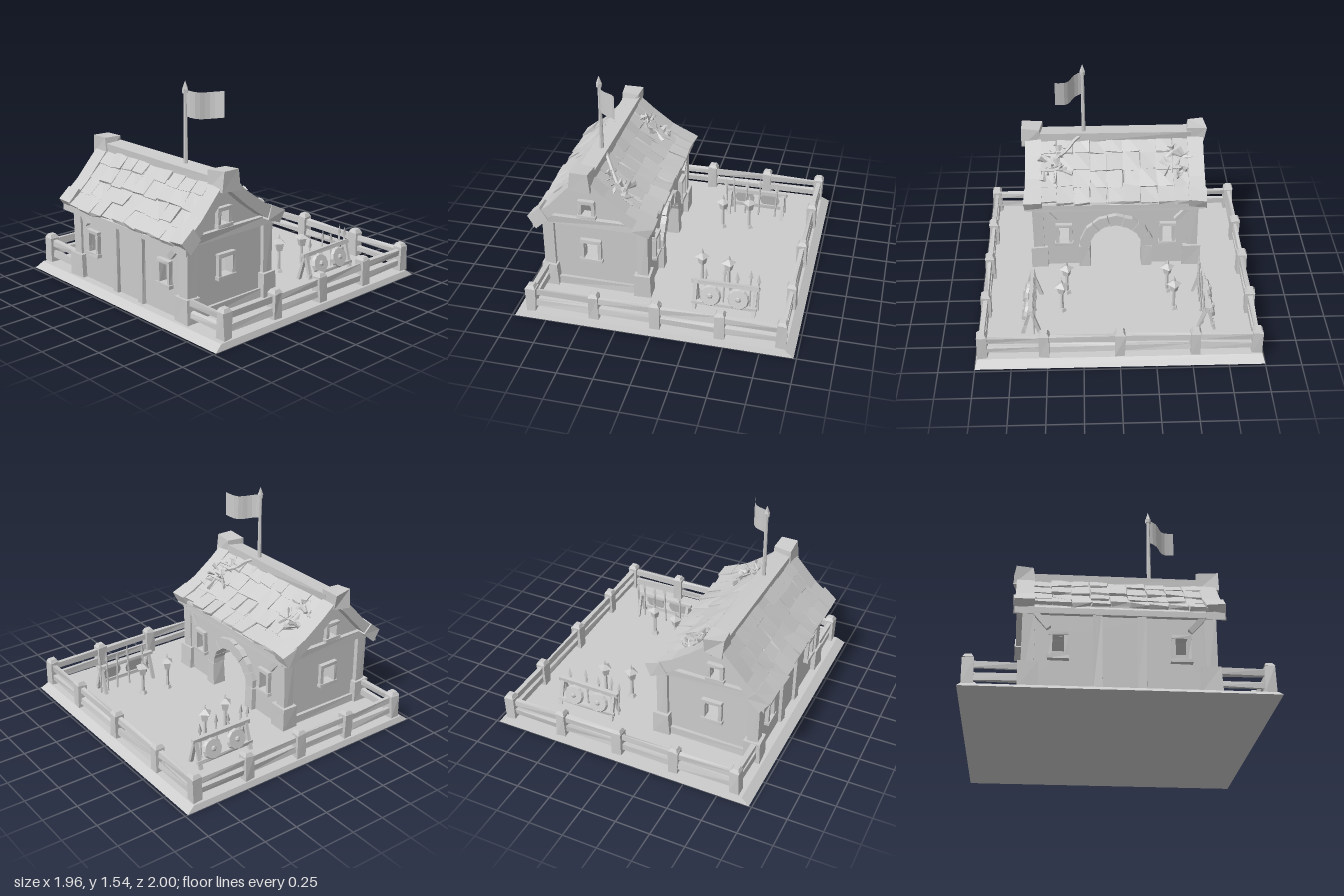
import * as THREE from 'three';

const mat = new THREE.MeshStandardMaterial({ color: 0xcccccc, flatShading: true, side: THREE.DoubleSide });
let seed = 7;
const rnd = () => ((seed = (seed * 16807) % 2147483647) / 2147483647) - 0.5;

function add(parent, name, geo, x = 0, y = 0, z = 0) {
  const m = new THREE.Mesh(geo, mat);
  m.name = name;
  m.position.set(x, y, z);
  parent.add(m);
  return m;
}

// Box whose eight corners are nudged for a hand-hewn look
function hewn(w, h, d, j = 0.008) {
  const g = new THREE.BoxGeometry(w, h, d);
  const p = g.attributes.position, moved = {};
  for (let i = 0; i < p.count; i++) {
    const key = [p.getX(i) > 0, p.getY(i) > 0, p.getZ(i) > 0].join();
    const o = (moved[key] ??= [rnd() * j, rnd() * j, rnd() * j]);
    p.setXYZ(i, p.getX(i) + o[0], p.getY(i) + o[1], p.getZ(i) + o[2]);
  }
  g.computeVertexNormals();
  return g;
}

// Hewn box given by its limits
const block = (parent, name, x0, x1, y0, y1, z0, z1, j) =>
  add(parent, name, hewn(x1 - x0, y1 - y0, z1 - z0, j), (x0 + x1) / 2, (y0 + y1) / 2, (z0 + z1) / 2);

const vecs = (pts) => pts.map(([x, y]) => new THREE.Vector2(x, y));
const rectPath = (x, y, w, h) =>
  new THREE.Path(vecs([[x - w / 2, y], [x - w / 2, y + h], [x + w / 2, y + h], [x + w / 2, y]]));

function slab(pts, depth, holes = []) {
  const s = new THREE.Shape(vecs(pts));
  s.holes.push(...holes);
  return new THREE.ExtrudeGeometry(s, { depth, bevelEnabled: false });
}

// Four-sided window frame facing +z, with its lower middle at the origin
function windowFrame(w, h, t = 0.025) {
  const g = new THREE.Group();
  g.name = 'windowFrame';
  for (const s of [-1, 1]) add(g, 'jamb', hewn(t, h, 0.05, 0.004), s * (w + t) / 2, h / 2, 0);
  add(g, 'sill', hewn(w + 2.6 * t, t, 0.065, 0.004), 0, -t / 2, 0);
  add(g, 'lintel', hewn(w + 2 * t, t, 0.055, 0.004), 0, h + t / 2, 0);
  return g;
}

// Roof profile, outer edge from ridge to eave on each side
const slopes = [
  [[-0.58, 0.96], [-0.70, 0.83], [-0.80, 0.72], [-0.93, 0.61]],
  [[-0.54, 0.96], [-0.40, 0.84], [-0.25, 0.73], [-0.09, 0.65]],
];
const band = (pts, lift, t) => [
  ...pts.map(([x, y]) => [x, y + lift]),
  ...[...pts].reverse().map(([x, y]) => [x, y + lift - t]),
];

function buildHouse() {
  const g = new THREE.Group();
  g.name = 'house';

  // Gable walls with two windows each
  const gable = [[-0.86, 0.03], [-0.13, 0.03], [-0.13, 0.6], [-0.56, 0.9], [-0.86, 0.6]];
  for (const s of [1, -1]) {
    const holes = [rectPath(-0.53, 0.29, 0.1, 0.13), rectPath(-0.55, 0.65, 0.07, 0.09)];
    add(g, 'gableWall', slab(gable, 0.04, holes), 0, 0, s > 0 ? 0.55 : -0.59);
    for (const [x, y, w, h] of [[-0.53, 0.29, 0.1, 0.13], [-0.55, 0.65, 0.07, 0.09]]) {
      const f = windowFrame(w, h);
      f.position.set(x, y, s * 0.595);
      g.add(f);
    }
    const z = s * 0.595;
    block(g, 'tieBeam', -0.87, -0.12, 0.56, 0.62, z - 0.03, z + 0.03);
    block(g, 'groundBeam', -0.86, -0.13, 0.03, 0.1, z - 0.02, z + 0.02);
  }

  // Side walls: the +x wall has the archway
  const side = [[-0.59, 0.03], [0.59, 0.03], [0.59, 0.62], [-0.59, 0.62]];
  const doorSide = [[-0.59, 0.03], [-0.2, 0.03], [-0.2, 0.22]];
  for (let i = 1; i < 12; i++) {
    const a = Math.PI * (1 - i / 12);
    doorSide.push([0.2 * Math.cos(a), 0.22 + 0.2 * Math.sin(a)]);
  }
  doorSide.push([0.2, 0.22], [0.2, 0.03], [0.59, 0.03], [0.59, 0.62], [-0.59, 0.62]);
  for (const [pts, x, out] of [[doorSide, -0.13, 1], [side, -0.82, -1]]) {
    const holes = [-0.39, 0.39].map((z) => rectPath(z, 0.26, 0.075, 0.14));
    add(g, 'sideWall', slab(pts, 0.04, holes), x).rotation.y = -Math.PI / 2;
    const face = out > 0 ? -0.125 : -0.865;
    for (const z of [-0.39, 0.39]) {
      const f = windowFrame(0.075, 0.14);
      f.position.set(face, 0.26, z);
      f.rotation.y = Math.PI / 2;
      g.add(f);
    }
    block(g, 'eaveBeam', face - 0.03, face + 0.03, 0.55, 0.62, -0.6, 0.6);
  }
  for (const z of [-0.14, 0.14]) block(g, 'backPost', -0.885, -0.85, 0.03, 0.58, z - 0.03, z + 0.03);

  // Corner posts, stone feet and slanted braces
  for (const s of [1, -1]) for (const [x, out] of [[-0.84, -1], [-0.155, 1]]) {
    block(g, 'cornerPost', x - 0.04, x + 0.04, 0.03, 0.6, s * 0.58 - 0.04, s * 0.58 + 0.04);
    block(g, 'cornerFoot', x - 0.06, x + 0.06, 0.03, 0.21, s * 0.575 - 0.065, s * 0.575 + 0.065, 0.015);
    add(g, 'brace', hewn(0.03, 0.15, 0.035), x + out * 0.035, 0.51, s * 0.5).rotation.x = s * 0.7;
  }

  // Stone arch: wedge blocks over two jambs
  for (let i = 0; i < 7; i++) {
    const a = Math.PI * (i / 7) + 0.01, b = Math.PI * ((i + 1) / 7) - 0.01, r = 0.272 + rnd() * 0.02;
    const mid = (a + b) / 2;
    const pts = [[0.195, a], [r, a], [r + 0.008, mid], [r, b], [0.195, b], [0.2, mid]]
      .map(([q, t]) => [q * Math.cos(t), 0.22 + q * Math.sin(t)]);
    add(g, 'archStone', slab(pts, 0.1), -0.09 + rnd() * 0.015).rotation.y = -Math.PI / 2;
  }
  for (const s of [1, -1]) {
    block(g, 'archJamb', -0.19, -0.09, 0.03, 0.22, s * 0.235 - 0.04, s * 0.235 + 0.04, 0.015);
  }
  return g;
}

function buildRoof() {
  const g = new THREE.Group();
  g.name = 'roof';
  slopes.forEach((pts, k) => {
    add(g, 'roofDeck', slab(band(pts, -0.04, 0.035), 1.16), 0, 0, -0.58);
    // Thick verge boards at both gables, ending in blocks
    for (const z of [0.55, -0.67]) {
      add(g, 'vergeBoard', slab(band(pts, 0.015, 0.1), 0.12), 0, 0, z);
      const end = add(g, 'vergeEnd', hewn(0.12, 0.1, 0.135, 0.015), k ? -0.135 : -0.885, k ? 0.635 : 0.615, z + 0.06);
      end.rotation.z = k ? -0.46 : 0.7;
    }
    // Overlapping uneven shingles
    const rows = 4, cols = 9;
    const curve = new THREE.SplineCurve(vecs(pts));
    for (let r = 0; r < rows; r++) for (let c = 0; c < cols; c++) {
      const p = curve.getPointAt((r + 0.5) / rows), t = curve.getTangentAt((r + 0.5) / rows);
      const w = 1.12 / cols;
      const m = add(g, 'shingle', hewn(0.165 + rnd() * 0.03, 0.025, w * 0.98, 0.016),
        p.x, p.y - 0.012 + rnd() * 0.01, -0.56 + w * (c + 0.5));
      m.rotation.z = Math.atan2(t.y, t.x) + (k ? 0.08 : -0.08);
      m.rotation.x = rnd() * 0.08;
    }
  });
  // Ridge beam with heavy end caps
  block(g, 'ridgeBeam', -0.62, -0.5, 0.87, 0.98, -0.58, 0.58, 0.02);
  for (const s of [1, -1]) block(g, 'ridgeCap', -0.635, -0.49, 0.89, 1.02, s * 0.62 - 0.068, s * 0.62 + 0.068, 0.025);

  // Leafy tufts creeping down the +x slope
  for (const z of [0.45, -0.46]) for (let i = 0; i < 22; i++) {
    const u = rnd(), x = -0.37 + u * 0.22;
    const leaf = add(g, 'leaf', new THREE.ConeGeometry(0.028, 0.11, 4), x, 0.825 - u * 0.155, z + rnd() * 0.17);
    leaf.rotation.set(rnd() * 3, rnd() * 6, -1.2 + rnd() * 1.6);
    leaf.scale.z = 0.4;
  }
  const vine = new THREE.CatmullRomCurve3([[-0.52, 0.97, 0.24], [-0.47, 0.93, 0.31], [-0.43, 0.88, 0.36], [-0.37, 0.84, 0.45]]
    .map((p) => new THREE.Vector3(...p)));
  add(g, 'vine', new THREE.TubeGeometry(vine, 10, 0.014, 5));
  return g;
}

function buildFlag() {
  const g = new THREE.Group();
  g.name = 'flag';
  g.position.set(-0.545, 0, 0.23);
  add(g, 'flagPole', new THREE.CylinderGeometry(0.011, 0.016, 0.62, 6), 0, 1.2, 0);
  add(g, 'poleTip', new THREE.ConeGeometry(0.022, 0.06, 5), 0, 1.51, 0);
  add(g, 'poleCollar', new THREE.CylinderGeometry(0.02, 0.02, 0.03, 6), 0, 1.47, 0);
  // Rippling cloth hung diagonally
  const cloth = new THREE.PlaneGeometry(0.26, 0.18, 8, 3);
  const p = cloth.attributes.position;
  for (let i = 0; i < p.count; i++) {
    const u = p.getX(i) / 0.26 + 0.5;
    p.setXYZ(i, p.getX(i) + 0.13, p.getY(i) - 0.02 * Math.sin(u * 3), 0.018 * Math.sin(u * 7));
  }
  add(g, 'cloth', cloth, 0, 1.39, 0).rotation.y = -0.83;
  return g;
}

function buildFence() {
  const g = new THREE.Group();
  g.name = 'fence';
  const xs = [-0.86, -0.41, 0.02, 0.47, 0.89];
  const post = (x, z) => {
    add(g, 'fencePost', hewn(0.07, 0.18, 0.07, 0.01), x, 0.14, z);
    const cap = add(g, 'postCap', new THREE.CylinderGeometry(0.03, 0.05, 0.025, 4), x, 0.242, z);
    cap.rotation.y = Math.PI / 4;
  };
  const rails = (x0, x1, z0, z1) => {
    for (const y of [0.107, 0.188]) block(g, 'fenceRail', x0, x1, y - 0.022, y + 0.022, z0, z1, 0.012);
  };
  for (const z of [0.945, -0.945]) {
    xs.forEach((x) => post(x, z));
    for (let i = 0; i < 4; i++) rails(xs[i], xs[i + 1], z - 0.015, z + 0.015);
    rails(-0.875, -0.845, z > 0 ? 0.6 : -0.945, z > 0 ? 0.945 : -0.6);
  }
  const zs = [-0.945, -0.52, 0, 0.52, 0.945];
  zs.slice(1, 4).forEach((z) => post(0.89, z));
  for (let i = 0; i < 4; i++) rails(0.875, 0.905, zs[i], zs[i + 1]);
  return g;
}

// Weapon rack centred on its origin, shields on +z
function buildRack() {
  const g = new THREE.Group();
  g.name = 'weaponRack';
  for (const s of [-1, 1]) for (const t of [-1, 1]) {
    add(g, 'rackLeg', hewn(0.025, 0.22, 0.022), s * 0.21, 0.14, t * 0.03).rotation.x = -t * 0.28;
  }
  add(g, 'topRail', hewn(0.48, 0.03, 0.03), 0, 0.235, 0);
  add(g, 'lowRail', hewn(0.46, 0.025, 0.025), 0, 0.09, 0.045);
  for (const x of [-0.1, 0.1]) {
    const shield = add(g, 'shield', new THREE.CylinderGeometry(0.068, 0.078, 0.02, 12), x, 0.155, 0.045);
    shield.rotation.x = Math.PI / 2 - 0.28;
    const boss = add(g, 'shieldBoss', new THREE.SphereGeometry(0.022, 6, 4), x, 0.16, 0.055);
    boss.scale.z = 0.7;
  }
  [-0.15, -0.02, 0.09, 0.17, 0.23].forEach((x, i) => {
    const h = 0.24 + (i % 2) * 0.03;
    const spear = new THREE.Group();
    spear.name = 'spear';
    add(spear, 'shaft', new THREE.CylinderGeometry(0.007, 0.007, h, 5), 0, h / 2, 0);
    add(spear, 'spearHead', new THREE.ConeGeometry(0.018, 0.07, 4), 0, h + 0.03, 0).scale.z = 0.4;
    spear.position.set(x, 0.04, -0.02);
    spear.rotation.z = rnd() * 0.12;
    g.add(spear);
  });
  return g;
}

function buildLantern(x, z) {
  const g = new THREE.Group();
  g.name = 'lanternPost';
  g.position.set(x, 0, z);
  g.rotation.y = rnd();
  add(g, 'foot', new THREE.CylinderGeometry(0.022, 0.035, 0.03, 5), 0, 0.05, 0);
  add(g, 'stem', new THREE.CylinderGeometry(0.011, 0.014, 0.18, 5), 0, 0.13, 0);
  add(g, 'body', new THREE.CylinderGeometry(0.038, 0.026, 0.06, 4), 0, 0.235, 0);
  add(g, 'cap', new THREE.ConeGeometry(0.055, 0.035, 4), 0, 0.283, 0);
  add(g, 'finial', new THREE.ConeGeometry(0.012, 0.04, 4), 0, 0.315, 0);
  return g;
}

export function createModel() {
  const model = new THREE.Group();
  model.name = 'outpost';

  // Ground slab with sloping rim
  const ground = new THREE.BoxGeometry(1.96, 0.04, 2);
  const p = ground.attributes.position;
  for (let i = 0; i < p.count; i++) {
    if (p.getY(i) > 0) p.setXYZ(i, p.getX(i) * 0.94, p.getY(i), p.getZ(i) * 0.985);
  }
  add(model, 'ground', ground, 0, 0.02, 0);

  model.add(buildHouse(), buildRoof(), buildFlag(), buildFence());
  for (const s of [1, -1]) {
    const rack = buildRack();
    rack.position.set(0.44, 0, s * 0.62);
    if (s < 0) rack.rotation.y = Math.PI;
    model.add(rack, buildLantern(0.22, s * 0.37), buildLantern(0.42, s * 0.405));
  }
  return model;
}
